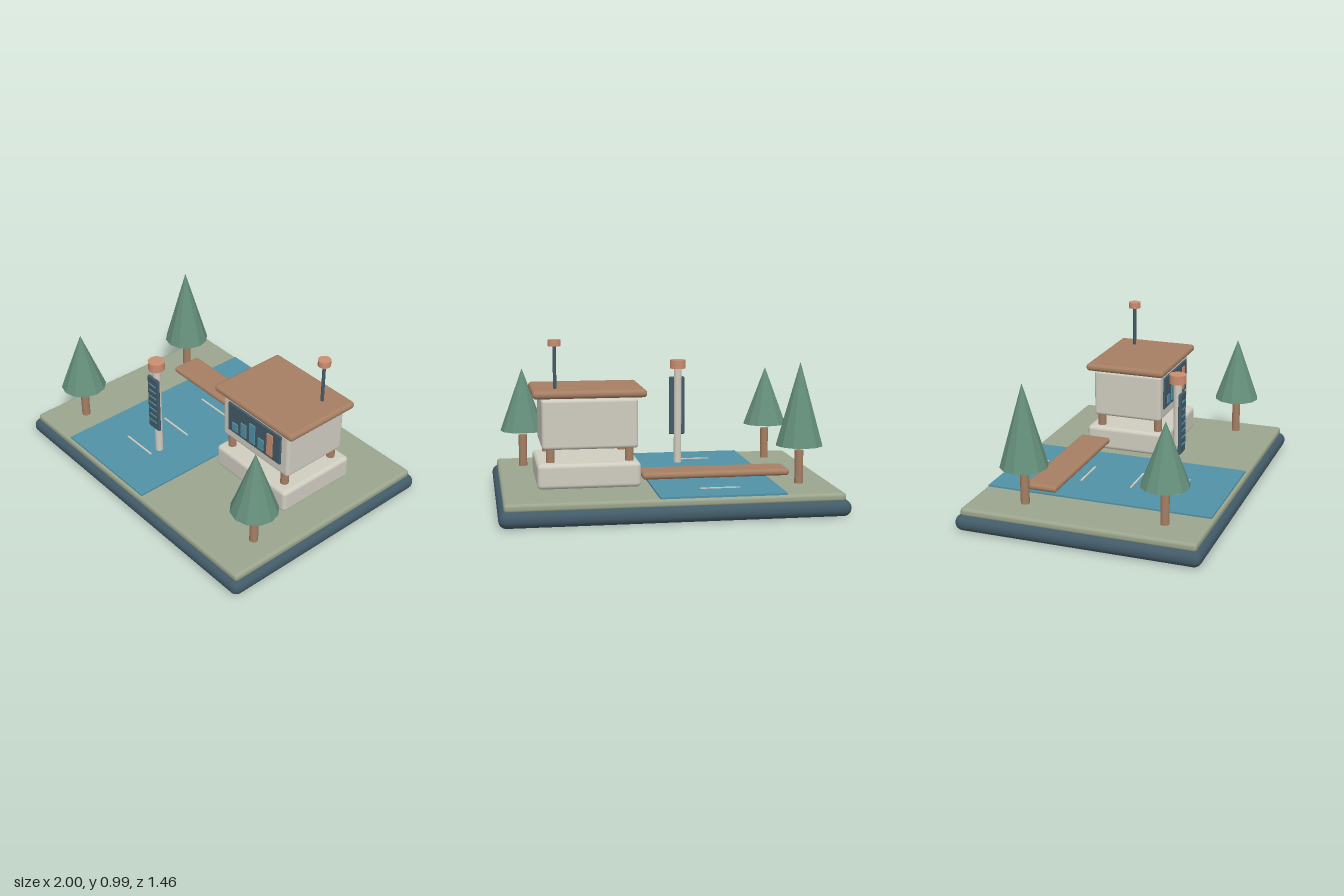
import * as THREE from 'three';
import { RoundedBoxGeometry } from 'three/addons/geometries/RoundedBoxGeometry.js';

const mat = (name, color, flatShading = false) => {
  const m = new THREE.MeshStandardMaterial({ color, flatShading });
  m.name = name;
  return m;
};

export function createModel() {
  const slate = mat('slate', 0x425b68);
  const grass = mat('sage grass', 0x9ba58d);
  const water = mat('water blue', 0x5292a6);
  const wood = mat('wood brown', 0xa67f63);
  const copper = mat('copper', 0xcb8d70);
  const stone = mat('pale stone', 0xcfccc0);
  const leaf = mat('pine green', 0x658f7b, true);

  const root = new THREE.Group();
  root.name = 'riverStation';

  const group = (name) => {
    const g = new THREE.Group();
    g.name = name;
    root.add(g);
    return g;
  };
  const add = (parent, name, geometry, material, x, y, z) => {
    const m = new THREE.Mesh(geometry, material);
    m.name = name;
    m.position.set(x, y, z);
    parent.add(m);
    return m;
  };
  // Box given by its limits on each axis, rounded when r > 0
  const box = (parent, name, material, [x0, x1], [y0, y1], [z0, z1], r = 0) => {
    const s = [x1 - x0, y1 - y0, z1 - z0];
    const g = r ? new RoundedBoxGeometry(...s, 4, r) : new THREE.BoxGeometry(...s);
    return add(parent, name, g, material, (x0 + x1) / 2, (y0 + y1) / 2, (z0 + z1) / 2);
  };
  // Upright cylinder standing between two heights
  const post = (parent, name, material, r, x, z, y0, y1, sides = 24) =>
    add(parent, name, new THREE.CylinderGeometry(r, r, y1 - y0, sides), material, x, (y0 + y1) / 2, z);

  // Ground, river and ripples
  const ground = group('ground');
  box(ground, 'base', slate, [-1, 1], [0, 0.094], [-0.73, 0.73], 0.045);
  box(ground, 'lawn', grass, [-0.97, 0.97], [0.085, 0.135], [-0.7, 0.7], 0.02);
  box(ground, 'river', water, [-0.626, 0.104], [0.132, 0.145], [-0.687, 0.684]);
  for (const z of [-0.507, -0.193, 0.12, 0.41])
    box(ground, 'ripple', stone, [-0.39, -0.157], [0.147, 0.153], [z - 0.005, z + 0.005]);

  // Footbridge
  box(root, 'bridge', wood, [-0.71, 0.163], [0.188, 0.228], [-0.415, -0.218], 0.019);

  // Raised cabin
  const cabin = group('cabin');
  box(cabin, 'plinth', stone, [0.165, 0.765], [0.14, 0.287], [-0.375, 0.154], 0.025);
  for (const x of [0.225, 0.685])
    for (const z of [0.08, -0.295])
      post(cabin, 'stilt', wood, 0.025, x, z, 0.27, 0.38);
  box(cabin, 'walls', stone, [0.175, 0.735], [0.362, 0.655], [-0.33, 0.11], 0.02);
  box(cabin, 'roof', wood, [0.126, 0.786], [0.662, 0.708], [-0.367, 0.142], 0.022);
  post(cabin, 'antennaMast', slate, 0.01, 0.65, -0.23, 0.7, 0.957);
  post(cabin, 'antennaCap', copper, 0.038, 0.65, -0.23, 0.955, 0.992);

  // Display with bar chart on the front wall
  box(cabin, 'display', slate, [0.23, 0.68], [0.43, 0.633], [0.105, 0.121], 0.007);
  [0.51, 0.547, 0.587, 0.527, 0.605].forEach((top, i) => {
    const x = 0.298 + i * 0.0745;
    box(cabin, 'chartBar', i === 4 ? copper : water, [x - 0.023, x + 0.023], [0.455, top], [0.12, 0.128]);
  });

  // Water gauge pole
  const gauge = group('gauge');
  post(gauge, 'gaugePole', stone, 0.024, -0.172, 0.333, 0.14, 0.752);
  post(gauge, 'gaugeCap', copper, 0.05, -0.172, 0.333, 0.75, 0.804);
  box(gauge, 'gaugePanel', slate, [-0.221, -0.12], [0.322, 0.695], [0.35, 0.369], 0.009);
  for (let i = 0; i < 7; i++) {
    const y = 0.38 + i * 0.044;
    box(gauge, 'gaugeMark', water, [-0.205, -0.137], [y - 0.004, y + 0.004], [0.367, 0.373]);
  }

  // Pine trees: x, z, height of the tip
  for (const [x, z, tip] of [[-0.774, -0.38, 0.855], [-0.774, 0.46, 0.733], [0.81, 0.428, 0.756]]) {
    const tree = group('tree');
    post(tree, 'trunk', wood, 0.026, x, z, 0.135, 0.333, 12);
    add(tree, 'foliage', new THREE.ConeGeometry(0.14, tip - 0.363, 12), leaf, x, (tip + 0.363) / 2, z);
  }
  return root;
}
